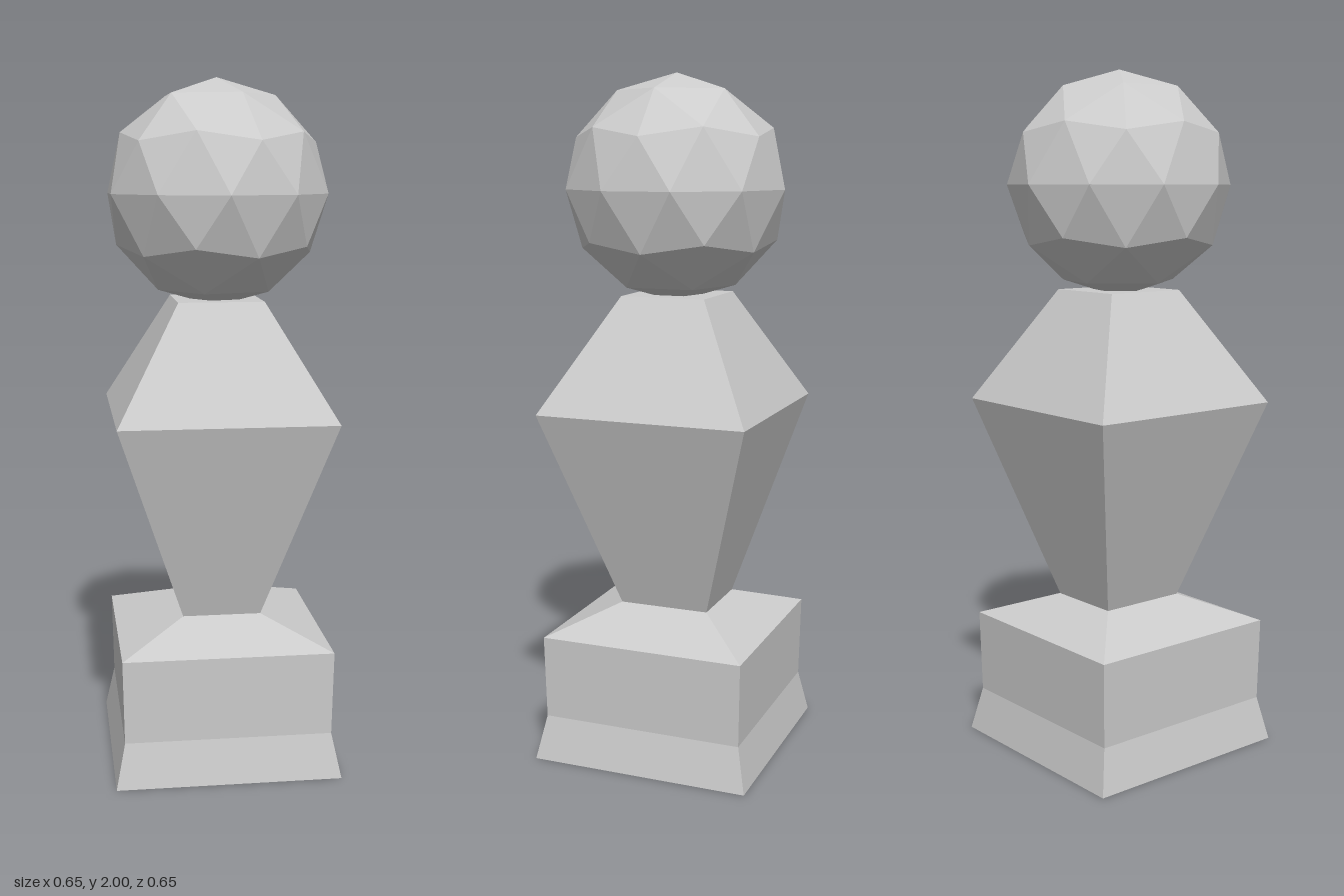
import * as THREE from 'three';

const material = new THREE.MeshStandardMaterial({ color: 0xcccccc, flatShading: true });

// Four-sided solid through rectangular sections [y, halfWidth, halfDepth], bottom to top
function loft(name, sections, capBottom, capTop) {
  const positions = [];
  const index = [];
  for (const [y, w, d] of sections) {
    positions.push(w, y, d, w, y, -d, -w, y, -d, -w, y, d);
  }
  for (let s = 0; s < sections.length - 1; s++) {
    for (let i = 0; i < 4; i++) {
      const a = s * 4 + i;
      const b = s * 4 + (i + 1) % 4;
      index.push(a, b, b + 4, a, b + 4, a + 4);
    }
  }
  if (capBottom) index.push(0, 2, 1, 0, 3, 2);
  if (capTop) {
    const t = (sections.length - 1) * 4;
    index.push(t, t + 1, t + 2, t, t + 2, t + 3);
  }
  const indexed = new THREE.BufferGeometry();
  indexed.setAttribute('position', new THREE.Float32BufferAttribute(positions, 3));
  indexed.setIndex(index);
  const geometry = indexed.toNonIndexed();
  geometry.computeVertexNormals();
  const mesh = new THREE.Mesh(geometry, material);
  mesh.name = name;
  return mesh;
}

export function createModel() {
  const model = new THREE.Group();
  model.name = 'pawnStatue';

  // Flared plinth with a sloping top
  const base = loft('base', [
    [0, 0.327, 0.327],
    [0.13, 0.3, 0.3],
    [0.375, 0.305, 0.305],
    [0.447, 0.115, 0.135],
  ], true, false);

  // Diamond-shaped body
  const body = loft('body', [
    [0.447, 0.115, 0.135],
    [1.043, 0.312, 0.313],
    [1.372, 0.124, 0.127],
  ], false, true);
  base.position.z = body.position.z = -0.003;

  // Faceted ball, turned so that one corner points straight up
  const radius = 0.325;
  const ball = new THREE.IcosahedronGeometry(radius, 1);
  ball.rotateZ(-Math.atan(2 / (1 + Math.sqrt(5))));
  const head = new THREE.Mesh(ball, material);
  head.name = 'head';
  head.position.y = 2 - radius;

  model.add(base, body, head);
  return model;
}
